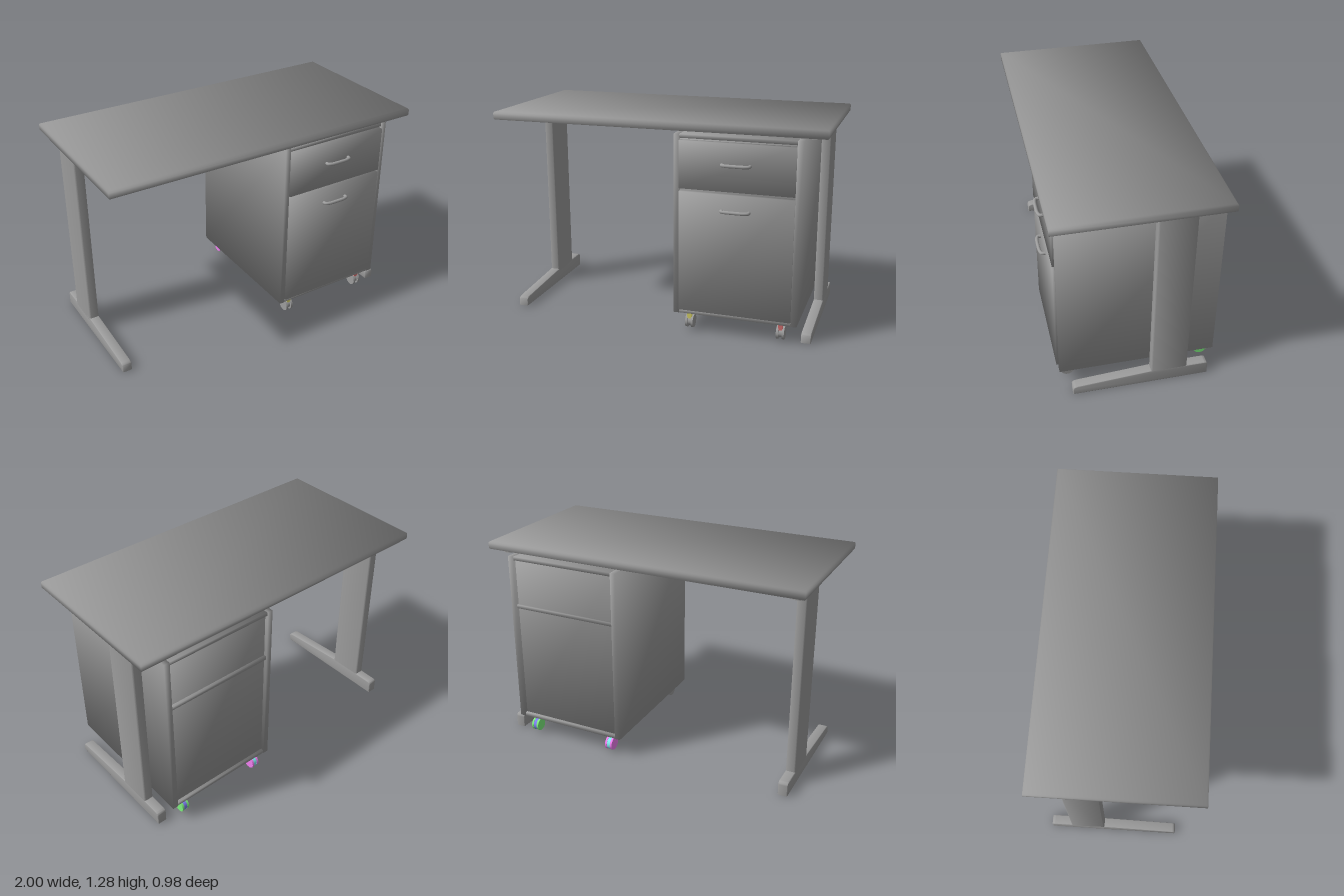
import * as THREE from 'three';
import { toCreasedNormals } from 'three/addons/utils/BufferGeometryUtils.js';

const tint = (color) => new THREE.MeshStandardMaterial({ color });
const darkGrey = tint(0x9c9c9c);

function add(parent, name, geometry, material = darkGrey) {
  const mesh = new THREE.Mesh(geometry, material);
  mesh.name = name;
  parent.add(mesh);
  return mesh;
}

// Smooth shading across the edges of a box-like part: normals fan out toward its corners
function soften(g) {
  g.computeBoundingBox();
  const centre = g.boundingBox.getCenter(new THREE.Vector3());
  const half = g.boundingBox.getSize(new THREE.Vector3()).multiplyScalar(0.5);
  const v = new THREE.Vector3();
  for (let i = 0; i < g.attributes.position.count; i++) {
    v.fromBufferAttribute(g.attributes.position, i).sub(centre).divide(half).normalize();
    g.attributes.normal.setXYZ(i, v.x, v.y, v.z);
  }
  return g;
}

// Box given by its limits on each axis
function block(parent, name, [x0, x1], [y0, y1], [z0, z1]) {
  const mesh = add(parent, name, soften(new THREE.BoxGeometry(x1 - x0, y1 - y0, z1 - z0)));
  mesh.position.set((x0 + x1) / 2, (y0 + y1) / 2, (z0 + z1) / 2);
}

// Rounded rectangle centred on the origin
function roundedRect(w, d, r) {
  const s = new THREE.Shape();
  const x = w / 2 - r, y = d / 2 - r;
  s.absarc(x, y, r, 0, Math.PI / 2);
  s.absarc(-x, y, r, Math.PI / 2, Math.PI);
  s.absarc(-x, -y, r, Math.PI, Math.PI * 1.5);
  s.absarc(x, -y, r, Math.PI * 1.5, Math.PI * 2);
  s.closePath();
  return s;
}

// Upright prism with a rounded rectangular section, standing on y = 0
function post(w, h, d, r) {
  const g = new THREE.ExtrudeGeometry(roundedRect(w, d, r), { depth: h, bevelEnabled: false, curveSegments: 4 });
  g.rotateX(-Math.PI / 2);
  return toCreasedNormals(g, 0.8);
}

// Slab with rounded edges and mitred corners
function tableTop() {
  const b = 0.011, x = 1 - b, z = 0.489 - b;
  const s = new THREE.Shape([[-x, -z], [x, -z], [x, z], [-x, z]].map((p) => new THREE.Vector2(...p)));
  const g = new THREE.ExtrudeGeometry(s, { depth: 0.028, bevelThickness: b, bevelSize: b, bevelSegments: 3 });
  g.rotateX(-Math.PI / 2);
  g.translate(0, 1.235 + b, -0.001);
  return soften(g);
}

// Foot drawn from the side: tapered toward the front
function footGeometry() {
  const s = new THREE.Shape();
  s.moveTo(-0.433, 0.004);
  s.lineTo(0.374, 0.004);
  s.lineTo(0.374, 0.04);
  s.quadraticCurveTo(0.37, 0.053, 0.35, 0.055);
  s.lineTo(-0.09, 0.084);
  s.lineTo(-0.415, 0.084);
  s.quadraticCurveTo(-0.433, 0.084, -0.433, 0.068);
  s.closePath();
  const g = new THREE.ExtrudeGeometry(s, { depth: 0.051, bevelThickness: 0.004, bevelSize: 0.004, bevelSegments: 2, curveSegments: 5 });
  g.translate(0, 0, -0.0255);
  g.rotateY(-Math.PI / 2);
  return toCreasedNormals(g, 0.8);
}

function makeLeg(name, x) {
  const leg = new THREE.Group();
  leg.name = name;
  leg.position.x = x;
  add(leg, 'foot', footGeometry());
  add(leg, 'column', post(0.059, 1.15, 0.217, 0.008)).position.set(0, 0.07, -0.1985);
  add(leg, 'topRail', post(0.059, 0.025, 0.812, 0.02)).position.set(0, 1.212, -0.031);
  return leg;
}

// Bowed bar handle
function makeHandle(parent, y) {
  const points = [[-0.08, 0], [-0.078, 0.018], [-0.058, 0.027], [0, 0.03], [0.058, 0.027], [0.078, 0.018], [0.08, 0]];
  const path = new THREE.CatmullRomCurve3(points.map(([x, z]) => new THREE.Vector3(x, 0, z)));
  add(parent, 'handle', new THREE.TubeGeometry(path, 40, 0.01, 10)).position.set(0.49, y, 0.454);
}

// Twin-wheel caster: slanted stem and a half-round housing between the wheels
function makeCaster(x, z, stemMaterial, wheelMaterial) {
  const caster = new THREE.Group();
  caster.name = 'caster';
  caster.position.set(x, 0, z);
  const stem = add(caster, 'stem', new THREE.BoxGeometry(0.028, 0.05, 0.016), stemMaterial);
  stem.position.set(0, 0.102, 0.022);
  stem.rotation.x = 0.25;
  const disc = (name, radius, width, offset, material, start = 0, sweep = Math.PI * 2) => {
    const g = new THREE.CylinderGeometry(radius, radius, width, 14, 1, false, start, sweep);
    const mesh = add(caster, name, g, material);
    mesh.rotation.z = Math.PI / 2;
    mesh.position.set(offset, 0.055, 0);
  };
  disc('axle', 0.03, 0.024, 0, wheelMaterial);
  disc('housing', 0.039, 0.022, 0, stemMaterial, Math.PI / 2, Math.PI);
  for (const s of [-1, 1]) disc('wheel', 0.041, 0.013, s * 0.0175, wheelMaterial);
  return caster;
}

function makePedestal() {
  const p = new THREE.Group();
  p.name = 'drawerPedestal';
  const inner = [0.154, 0.827];

  // Carcass
  for (const x of [[0.12, 0.154], [0.827, 0.863]]) block(p, 'sidePanel', x, [0.122, 1.21], [-0.489, 0.443]);
  block(p, 'topPanel', inner, [1.188, 1.21], [-0.485, 0.44]);
  block(p, 'bottomPanel', inner, [0.122, 0.145], [-0.485, 0.44]);
  block(p, 'body', inner, [0.14, 1.19], [-0.468, 0.425]);
  block(p, 'backDivider', inner, [0.878, 0.9], [-0.485, -0.46]);

  // Drawer fronts
  block(p, 'upperDrawerFront', inner, [0.897, 1.177], [0.42, 0.455]);
  block(p, 'lowerDrawerFront', inner, [0.148, 0.88], [0.42, 0.455]);
  for (const y of [1.053, 0.785]) makeHandle(p, y);

  // Casters
  p.add(makeCaster(0.21, 0.385, tint(0xf5ee78), darkGrey));
  p.add(makeCaster(0.765, 0.385, tint(0xf08080), darkGrey));
  p.add(makeCaster(0.765, -0.44, tint(0x8080f5), tint(0x80f080)));
  p.add(makeCaster(0.21, -0.44, tint(0x80f0f0), tint(0xf080f0)));
  return p;
}

export function createModel() {
  const desk = new THREE.Group();
  desk.name = 'desk';
  add(desk, 'tableTop', tableTop());
  desk.add(makeLeg('leftLeg', 0.911), makeLeg('rightLeg', -0.928));
  desk.add(makePedestal());
  return desk;
}
